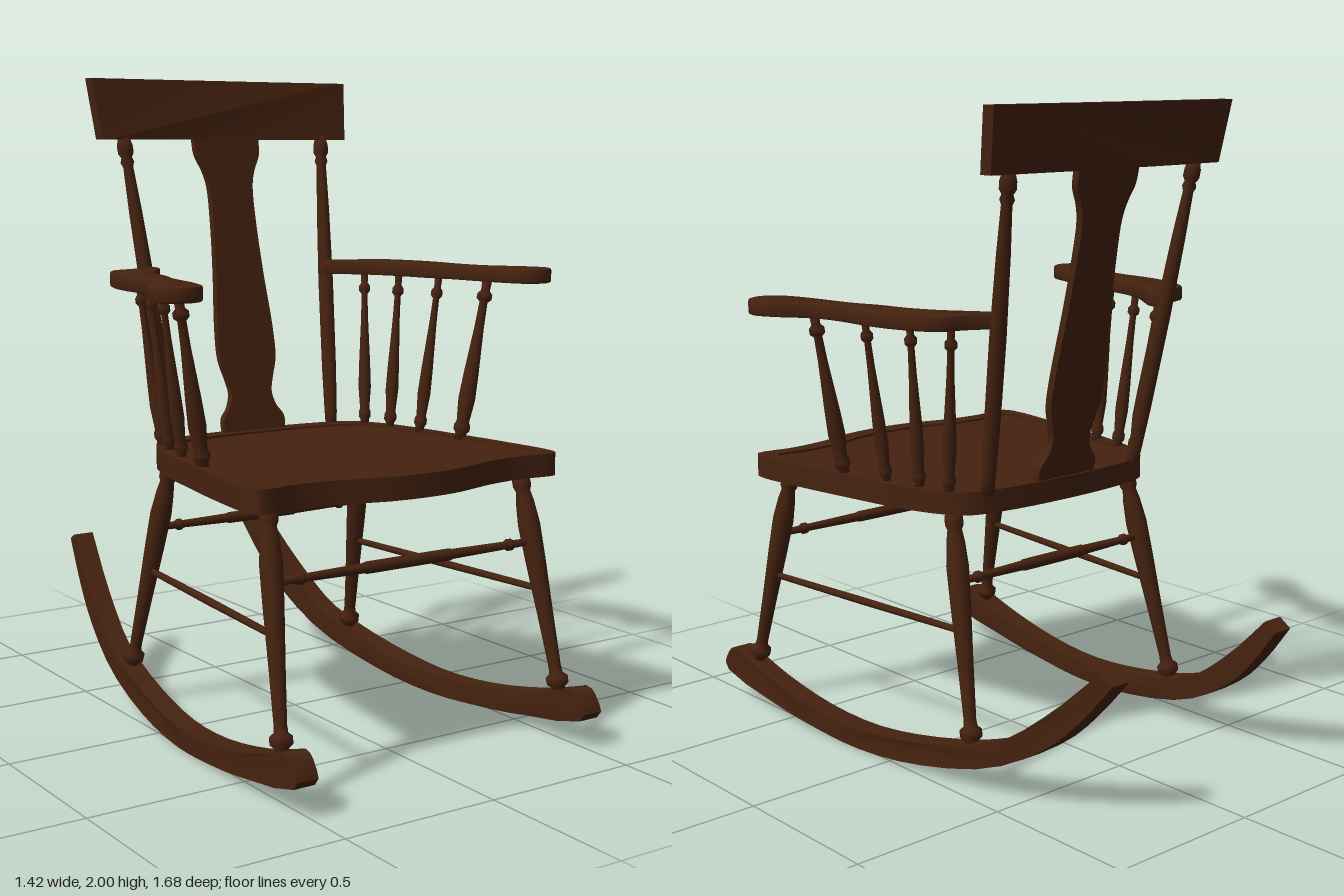
import * as THREE from 'three';
import { toCreasedNormals } from 'three/addons/utils/BufferGeometryUtils.js';

const wood = new THREE.MeshStandardMaterial({ color: 0x45220f });
wood.name = 'darkWood';

// Turned profiles: [fraction of length from the bottom, radius]
const LEG = [[0, .018], [.04, .02], [.055, .033], [.085, .034], [.1, .021], [.13, .019], [.35, .024], [.6, .031],
  [.76, .034], [.86, .028], [.91, .022], [.93, .028], [.96, .028], [1, .022]];
const POST = [[0, .019], [.05, .021], [.2, .024], [.5, .025], [.75, .021], [.9, .016], [.915, .022], [.93, .017],
  [.945, .025], [.97, .025], [1, .017]];
const SPINDLE = [[0, .018], [.04, .018], [.06, .026], [.09, .026], [.11, .02], [.25, .027], [.4, .024], [.7, .015],
  [.85, .013], [.87, .024], [.9, .024], [.92, .014], [1, .016]];
const CROSSBAR = [[0, .011], [.08, .012], [.09, .018], [.105, .018], [.115, .012], [.33, .015], [.34, .018],
  [.66, .018], [.67, .015], [.885, .012], [.895, .018], [.91, .018], [.92, .012], [1, .011]];
const ROD = [[0, .01], [.5, .012], [1, .01]];

export function createModel() {
  const chair = new THREE.Group();
  chair.name = 'rockingChair';

  const add = (name, geometry) => {
    const mesh = new THREE.Mesh(geometry, wood);
    mesh.name = name;
    chair.add(mesh);
    return mesh;
  };

  // Lathe-turned piece running from point a to point b
  const turned = (name, a, b, profile, scale = 1) => {
    const from = new THREE.Vector3(...a), dir = new THREE.Vector3(...b).sub(from), len = dir.length();
    const pts = profile.map(([t, r]) => new THREE.Vector2(r * scale, t * len));
    pts.unshift(new THREE.Vector2(0, 0));
    pts.push(new THREE.Vector2(0, len));
    const mesh = add(name, new THREE.LatheGeometry(pts, 16));
    mesh.position.copy(from);
    mesh.quaternion.setFromUnitVectors(new THREE.Vector3(0, 1, 0), dir.normalize());
  };

  const spline = (pts, n, closed = false) => {
    const c = new THREE.CatmullRomCurve3(pts.map(([x, y]) => new THREE.Vector3(x, y, 0)), closed, 'centripetal');
    const out = c.getPoints(n).map(p => new THREE.Vector2(p.x, p.y));
    if (closed) out.pop();
    return out;
  };

  // Flat horizontal board from a closed [x, z] outline
  const board = (name, outline, y, height, bevel = 0, hole = null) => {
    const shape = new THREE.Shape(spline(outline.map(([x, z]) => [x, -z]), 90, true));
    if (hole) shape.holes.push(new THREE.Path(spline(hole.map(([x, z]) => [x, -z]), 90, true)));
    const g = new THREE.ExtrudeGeometry(shape, {
      depth: height - 2 * bevel, bevelEnabled: bevel > 0, bevelThickness: bevel,
      bevelSize: bevel, bevelOffset: -bevel, bevelSegments: 2,
    });
    g.rotateX(-Math.PI / 2).translate(0, y + bevel, 0);
    add(name, toCreasedNormals(g, .6));
  };

  // Seat: slab with a raised rim around a shallow dish
  const half = [[.12, .68], [.27, .64], [.4, .625], [.525, .635], [.545, .6], [.53, .4], [.5, .2],
    [.465, 0], [.42, -.14], [.36, -.22], [.25, -.25]];
  const seat = [[0, .69], ...half, [0, -.265], ...half.map(([x, z]) => [-x, z]).reverse()];
  const dish = seat.map(([x, z]) => [x * .92, .2 + (z - .2) * .87]);
  board('seat', seat, .8, .063);
  board('seatRim', seat, .863, .007, 0, dish);

  // Back leans rearward along this line
  const lean = y => -.24 - .183 * (y - .87);
  const backPanel = (name, pts, thickness, bow) => {
    const g = new THREE.ExtrudeGeometry(new THREE.Shape(pts), { depth: thickness, bevelEnabled: false });
    const p = g.attributes.position;
    for (let i = 0; i < p.count; i++) {
      const x = p.getX(i);
      p.setZ(i, p.getZ(i) - thickness / 2 + lean(p.getY(i)) - bow * (1 - (x / .48) ** 2));
    }
    add(name, toCreasedNormals(g, .6));
  };

  // Crest rail, bowed slightly backward
  const rail = [];
  for (let i = 0; i <= 16; i++) rail.push(new THREE.Vector2(-.462 + .924 * i / 16, 1.81));
  for (let i = 16; i >= 0; i--) rail.push(new THREE.Vector2(-.48 + .96 * i / 16, 2));
  backPanel('crestRail', rail, .044, .014);

  // Vase-shaped back splat
  const edge = spline([[.115, .86], [.115, .91], [.09, .945], [.077, .99], [.088, 1.04], [.105, 1.1], [.105, 1.2],
    [.09, 1.38], [.081, 1.55], [.082, 1.66], [.095, 1.71], [.118, 1.76], [.122, 1.82]], 48);
  const mirrored = edge.map(p => new THREE.Vector2(-p.x, p.y)).reverse();
  backPanel('backSplat', [...edge, ...mirrored], .025, .004);

  // Rocker side profile in [z, y]
  const rockerTop = spline([[.775, .175], [.7, .15], [.56, .112], [.35, .075], [.14, .064], [-.07, .085],
    [-.31, .135], [-.45, .185], [-.63, .315], [-.79, .463]], 24);
  const rockerBottom = spline([[-.838, .44], [-.74, .32], [-.63, .215], [-.42, .095], [-.11, .02], [.14, 0],
    [.35, .012], [.56, .037], [.84, .1], [.82, .15], [.8, .17]], 28);

  const armOutline = [[.33, -.325], [.42, -.285], [.505, -.255], [.56, -.155], [.585, -.045], [.592, .11],
    [.615, .2], [.685, .3], [.71, .37], [.688, .42], [.635, .445], [.58, .42], [.55, .355], [.53, .265],
    [.505, .13], [.475, .045], [.45, -.065], [.41, -.155], [.365, -.22], [.32, -.29]];

  // Arm spindles: [bottom x, bottom z, top x, top z, thickness]
  const spindles = [[.475, .24, .565, .258, 1], [.445, .065, .515, .072, .78],
    [.418, -.06, .47, -.085, .78], [.388, -.16, .43, -.225, .78]];

  for (const s of [1, -1]) {
    const side = s > 0 ? 'left' : 'right';

    // Rockers toe inward toward the back
    const g = new THREE.ExtrudeGeometry(new THREE.Shape([...rockerTop, ...rockerBottom]),
      { depth: .07, bevelEnabled: false });
    g.rotateY(-Math.PI / 2).translate(.035, 0, 0);
    const p = g.attributes.position;
    for (let i = 0; i < p.count; i++) {
      const z = p.getZ(i);
      p.setX(i, p.getX(i) + s * (.467 + .1 * z - .055 * z * z));
    }
    add(side + 'Rocker', toCreasedNormals(g, .5));

    // Legs and side stretcher
    turned(side + 'FrontLeg', [s * .505, .13, .705], [s * .455, .81, .555], LEG);
    turned(side + 'RearLeg', [s * .43, .11, -.31], [s * .365, .81, -.15], LEG);
    turned(side + 'Stretcher', [s * .48, .453, .635], [s * .398, .453, -.23], ROD);

    // Back post, armrest and its spindles
    turned(side + 'BackPost', [s * .305, .86, lean(.86)], [s * .377, 1.82, lean(1.82)], POST);
    board(side + 'Armrest', armOutline.map(([x, z]) => [s * x, z]), 1.365, .045, .006);
    for (const [bx, bz, tx, tz, k] of spindles) {
      turned(side + 'ArmSpindle', [s * bx, .86, bz], [s * tx, 1.375, tz], SPINDLE, k);
    }
  }

  // Cross stretchers between the legs
  turned('frontCrossStretcher', [-.47, .597, .602], [.47, .597, .602], CROSSBAR);
  turned('rearCrossStretcher', [-.385, .597, -.199], [.385, .597, -.199], CROSSBAR);

  return chair;
}
